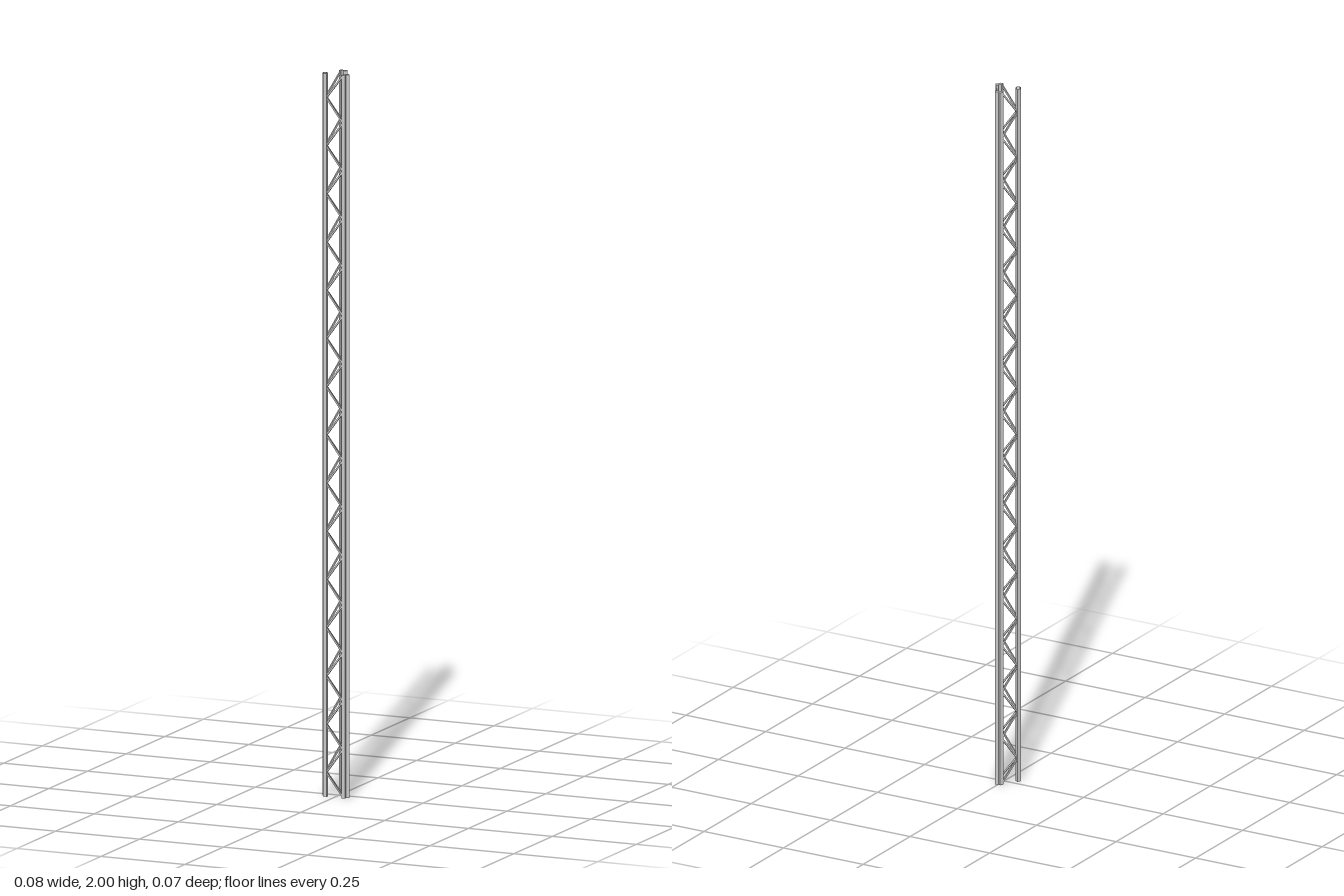
import * as THREE from 'three';

const HEIGHT = 2, SEGMENTS = 30;
const POST = 0.0105, BRACE = 0.0045;
const HALF_SPAN = 0.0272;   // panel centre to post centre
const INRADIUS = 0.0223;    // mast axis to panel plane
const AXIS_Z = 0.007;

const material = new THREE.MeshStandardMaterial({ color: 0xcccccc, flatShading: true });
const up = new THREE.Vector3(0, 1, 0);

function box(name, w, h, d) {
  const mesh = new THREE.Mesh(new THREE.BoxGeometry(w, h, d), material);
  mesh.name = name;
  return mesh;
}

// Square bar between two points
function bar(name, a, b, size) {
  const mesh = box(name, size, a.distanceTo(b), size);
  mesh.position.copy(a).add(b).multiplyScalar(0.5);
  mesh.quaternion.setFromUnitVectors(up, b.clone().sub(a).normalize());
  return mesh;
}

// Flat ladder panel: two posts and a zigzag that starts on the given side
function trussPanel(name, startSide) {
  const panel = new THREE.Group();
  panel.name = name;
  for (const side of [-1, 1]) {
    const post = box('post', POST, HEIGHT, POST);
    post.position.set(side * HALF_SPAN, HEIGHT / 2, INRADIUS);
    panel.add(post);
  }
  const step = HEIGHT / SEGMENTS;
  const reach = HALF_SPAN - POST * 0.25;
  const node = (i) => {
    const y = THREE.MathUtils.clamp(i * step, BRACE / 2, HEIGHT - BRACE / 2);
    return new THREE.Vector3((i % 2 ? -1 : 1) * startSide * reach, y, INRADIUS);
  };
  for (let i = 0; i < SEGMENTS; i++) {
    panel.add(bar('diagonalBrace', node(i), node(i + 1), BRACE));
  }
  return panel;
}

export function createModel() {
  const mast = new THREE.Group();
  mast.name = 'triangularLatticeMast';

  // Three panels around the mast axis
  const panels = [
    ['frontPanel', 0, 1],
    ['leftPanel', 1, -1],
    ['rightPanel', 2, -1],
  ];
  for (const [name, turn, startSide] of panels) {
    const panel = trussPanel(name, startSide);
    panel.rotation.y = turn * Math.PI * 2 / 3;
    panel.position.z = AXIS_Z;
    mast.add(panel);
  }
  return mast;
}
